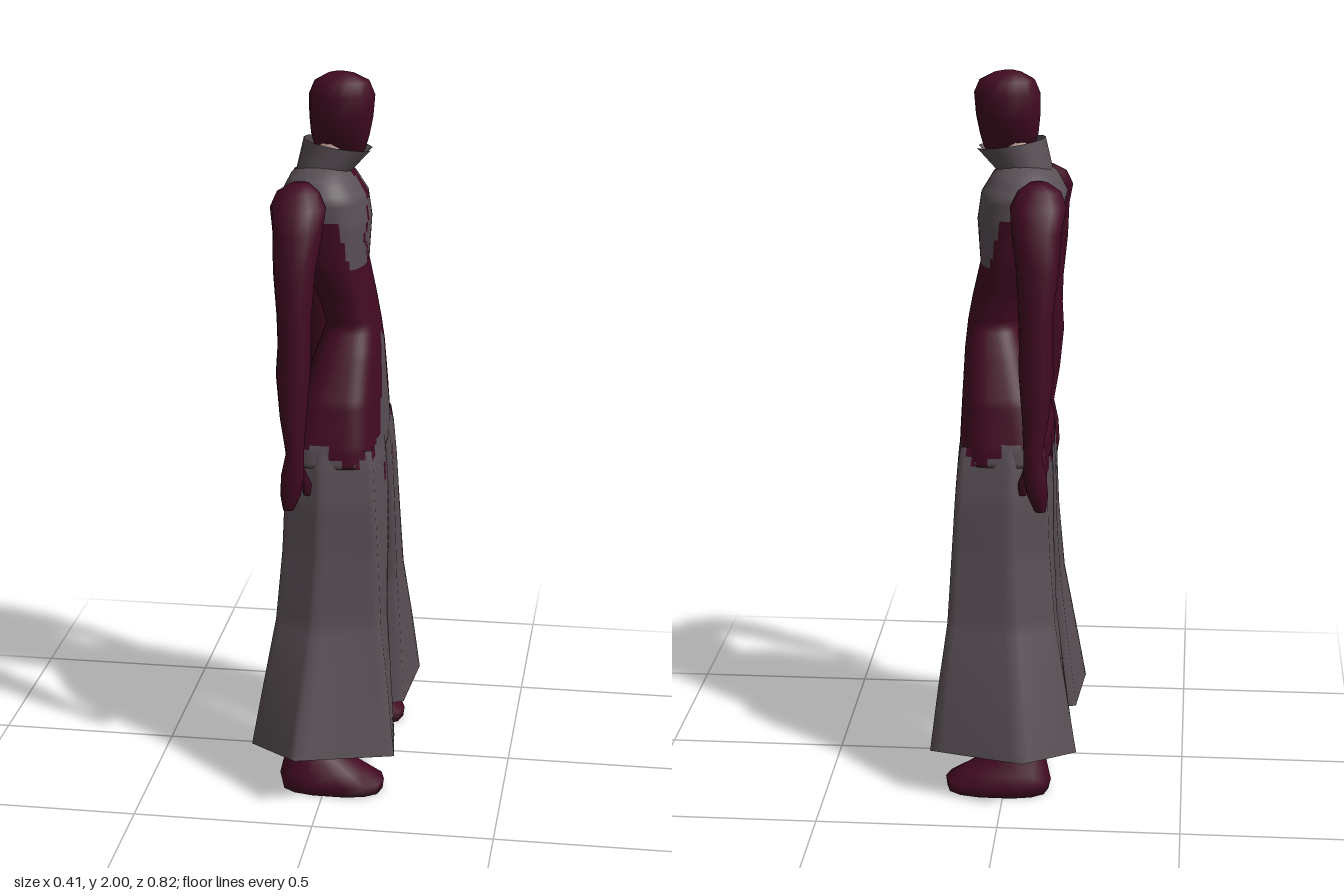
import * as THREE from 'three';

const mat = (name, color) => {
  const m = new THREE.MeshStandardMaterial({ color, side: THREE.DoubleSide });
  m.name = name;
  return m;
};

// Skin a list of rings (ascending in y); pick(x, y, z) chooses the material index of each quad
function skin(name, rings, mats, { pick = () => 0, wrap = true, mirror = false } = {}) {
  const n = rings[0].length, pos = [], sides = mats.map(() => []);
  rings.forEach(r => r.forEach(p => pos.push(p[0], p[1], mirror ? -p[2] : p[2])));
  for (let i = 0; i < rings.length - 1; i++) {
    for (let j = 0; j < (wrap ? n : n - 1); j++) {
      const k = (j + 1) % n, a = i * n + j, b = i * n + k, c = b + n, d = a + n;
      const p = rings[i][j], q = rings[i + 1][k];
      const list = sides[pick((p[0] + q[0]) / 2, (p[1] + q[1]) / 2, (p[2] + q[2]) / 2)];
      if (mirror) list.push(a, b, d, b, c, d);
      else list.push(a, d, b, b, d, c);
    }
  }
  const g = new THREE.BufferGeometry();
  g.setAttribute('position', new THREE.Float32BufferAttribute(pos, 3));
  g.setIndex(sides.flat());
  let start = 0;
  sides.forEach((s, i) => { g.addGroup(start, s.length, i); start += s.length; });
  g.computeVertexNormals();
  const mesh = new THREE.Mesh(g, mats.length > 1 ? mats : mats[0]);
  mesh.name = name;
  return mesh;
}

// Insert evenly spaced sections between the given ones
function refine(secs, step) {
  const out = [];
  for (let i = 0; i < secs.length - 1; i++) {
    const a = secs[i], b = secs[i + 1], m = Math.max(1, Math.round((b[0] - a[0]) / step));
    for (let k = 0; k < m; k++) out.push(a.map((v, c) => v + (b[c] - v) * k / m));
  }
  out.push(secs[secs.length - 1]);
  return out;
}

// Superellipse rings from sections [y, x0, x1, z0, z1, power], closed at both ends
function rounds(secs, n, step = 9) {
  const full = secs.map(([y, x0, x1, z0, z1, p = 2]) => [y, x0, x1, z0, z1, p]);
  const rings = refine(full, step).map(([y, x0, x1, z0, z1, p]) =>
    Array.from({ length: n }, (_, j) => {
      const t = j / n * Math.PI * 2;
      const f = v => Math.sign(v) * Math.abs(v) ** (2 / p);
      return [(x0 + x1) / 2 + (x1 - x0) / 2 * f(Math.cos(t)), y, (z0 + z1) / 2 + (z1 - z0) / 2 * f(Math.sin(t))];
    }));
  const cap = ([y, x0, x1, z0, z1]) => Array.from({ length: n }, () => [(x0 + x1) / 2, y, (z0 + z1) / 2]);
  return [cap(full[0]), ...rings, cap(full[full.length - 1])];
}

const even = secs => secs.map(([y, x0, x1, z, p]) => [y, x0, x1, -z, z, p]);

// Colour regions of the clothing: 0 grey cloth, 1 maroon
function clothing(x, y, z) {
  const w = Math.abs(z);
  if (y > 1.48) {
    const seam = y < 1.56 ? (y - 1.48) * 0.85 : 0.068 - (y - 1.56) * 0.55;
    if (x > 0 && y < 1.64 && Math.abs(w - seam) < 0.009) return 1;
    if (x > 0 && y > 1.66 && y < 1.74 && w < 0.012 + (y - 1.66) * 0.2) return 1;
    if (w > 0.1 && y < 1.62 && x < 0.05 - (y - 1.48) * 0.25 && x > -0.06) return 1;
    return 0;
  }
  if (y > 1.31) return x < 0.02 && w < (y - 1.31) * 0.62 ? 0 : 1;
  if (x > 0.05 && w < 0.012 && y > 0.95 && y < 1.14) return 1;
  if (x > 0.06 && Math.abs(w - 0.08) < 0.008 && y > 0.82 && y < 0.93) return 1;
  if (x > 0.05 && w < (1.31 - y) * 0.33) return 0;
  return y > 0.965 + 0.035 * Math.sin(x * 38 + 2.5) + 0.02 * Math.sin(w * 60) ? 1 : 0;
}

export function createModel() {
  const grey = mat('grey cloth', 0x5a5056);
  const maroon = mat('maroon', 0x420a22);
  const pale = mat('pale skin', 0xc9a79c);
  const cloth = [grey, maroon];
  const model = new THREE.Group();
  model.name = 'figure';

  // Torso and hips
  model.add(skin('torso', rounds(even([
    [0.95, -0.12, 0.135, 0.24, 3.6], [1.0, -0.12, 0.135, 0.235, 3.6],
    [1.12, -0.095, 0.13, 0.205, 3.2], [1.24, -0.055, 0.125, 0.145, 2.8],
    [1.31, -0.03, 0.118, 0.105, 2.5], [1.38, -0.05, 0.105, 0.113, 2.4],
    [1.48, -0.09, 0.082, 0.137, 2.5], [1.6, -0.14, 0.09, 0.145, 2.5],
    [1.67, -0.155, 0.08, 0.148, 2.4], [1.72, -0.13, 0.05, 0.12, 2.2],
    [1.755, -0.09, 0.02, 0.065],
  ]), 56, 0.014), cloth, { pick: clothing }));

  // Neck and head
  model.add(skin('neck', rounds(even([[1.7, -0.07, 0.01, 0.04], [1.81, -0.06, 0.03, 0.04]]), 12), [pale]));
  model.add(skin('head', rounds(even([
    [1.765, -0.02, 0.06, 0.012], [1.795, -0.065, 0.075, 0.033], [1.83, -0.075, 0.085, 0.055],
    [1.88, -0.08, 0.095, 0.075], [1.94, -0.08, 0.1, 0.078], [1.975, -0.065, 0.085, 0.06],
    [1.995, -0.03, 0.045, 0.028], [2.0, -0.01, 0.02, 0.01],
  ]), 16), [maroon]));

  // Standing collar, open at the front
  const arc = (cx, rx, rz, y0, dy) => Array.from({ length: 15 }, (_, j) => {
    const t = 0.32 + j / 14 * (Math.PI * 2 - 0.64), c = Math.cos(t);
    return [cx + rx * c, y0 - dy * c, rz * Math.sin(t)];
  });
  model.add(skin('collar', [arc(-0.045, 0.07, 0.075, 1.725, 0.01), arc(0, 0.095, 0.077, 1.805, 0.015)],
    [grey], { wrap: false }));

  // Trouser outlines as six corners (u along x, v along z), at the hip and at the hem
  const hip = [[0.9, 0.8], [-0.2, 1], [-0.95, 0.65], [-1, -0.7], [0, -1], [1, -0.65]];
  const hem = [[1, 0.46], [-0.3, 1], [-1, 0.3], [-0.9, -0.68], [0, -1], [0.88, -0.62]];
  const legSections = refine([
    [0.1, -0.205, 0.203, 0.04, 0.412, 1], [0.3, -0.175, 0.185, 0.06, 0.355, 0.8],
    [0.5, -0.145, 0.165, 0.068, 0.298, 0.5], [0.7, -0.13, 0.157, 0.035, 0.272, 0.2],
    [0.85, -0.125, 0.15, 0.015, 0.262, 0], [0.95, -0.12, 0.142, 0.006, 0.247, 0],
    [1.0, -0.115, 0.134, 0.003, 0.236, 0],
  ], 0.025);
  const legRings = legSections.map(([y, x0, x1, z0, z1, k]) => {
    const corners = hip.map((h, i) => h.map((v, c) => v + (hem[i][c] - v) * k));
    return Array.from({ length: 48 }, (_, j) => {
      const a = corners[Math.floor(j / 8)], b = corners[(Math.floor(j / 8) + 1) % 6], f = j % 8 / 8;
      const u = a[0] + (b[0] - a[0]) * f, v = (a[1] + (b[1] - a[1]) * f + 1) / 2;
      const lift = 0.05 * v * Math.max(0, 1 - (y - 0.1) / 0.4);
      return [(x0 + x1) / 2 + (x1 - x0) / 2 * u, y + lift, z0 + (z1 - z0) * v];
    });
  });

  const arm = [
    [0.835, -0.115, -0.085, 0.25, 0.272], [0.88, -0.122, -0.065, 0.242, 0.285],
    [0.94, -0.118, -0.055, 0.248, 0.29], [1.0, -0.105, -0.055, 0.25, 0.288],
    [1.1, -0.122, -0.05, 0.232, 0.29], [1.22, -0.134, -0.04, 0.21, 0.29],
    [1.3, -0.13, -0.04, 0.2, 0.282], [1.38, -0.132, -0.038, 0.197, 0.287],
    [1.5, -0.145, -0.03, 0.165, 0.272], [1.6, -0.15, -0.015, 0.13, 0.255],
    [1.66, -0.162, -0.01, 0.1, 0.22], [1.7, -0.145, -0.03, 0.1, 0.19], [1.72, -0.11, -0.06, 0.11, 0.155],
  ];
  const thumb = [
    [0.875, -0.06, -0.04, 0.236, 0.252], [0.91, -0.068, -0.038, 0.236, 0.262], [0.96, -0.085, -0.055, 0.25, 0.275],
  ];
  const foot = [
    [0, -0.125, 0.162, 0.165, 0.318, 2.6], [0.03, -0.132, 0.166, 0.16, 0.322, 2.5],
    [0.06, -0.125, 0.115, 0.167, 0.31, 2.3], [0.1, -0.115, 0.045, 0.172, 0.285],
    [0.14, -0.108, 0.01, 0.172, 0.268], [0.45, -0.09, 0.02, 0.15, 0.25],
  ];

  // Paired limbs, the model faces +x
  for (const mirror of [false, true]) {
    const side = mirror ? 'back' : 'front';
    model.add(
      skin(side + 'TrouserLeg', legRings, cloth, { pick: clothing, mirror }),
      skin(side + 'Arm', rounds(arm, 12), [maroon], { mirror }),
      skin(side + 'Thumb', rounds(thumb, 6), [maroon], { mirror }),
      skin(side + 'Foot', rounds(foot, 14), [maroon], { mirror }),
    );
  }
  return model;
}
